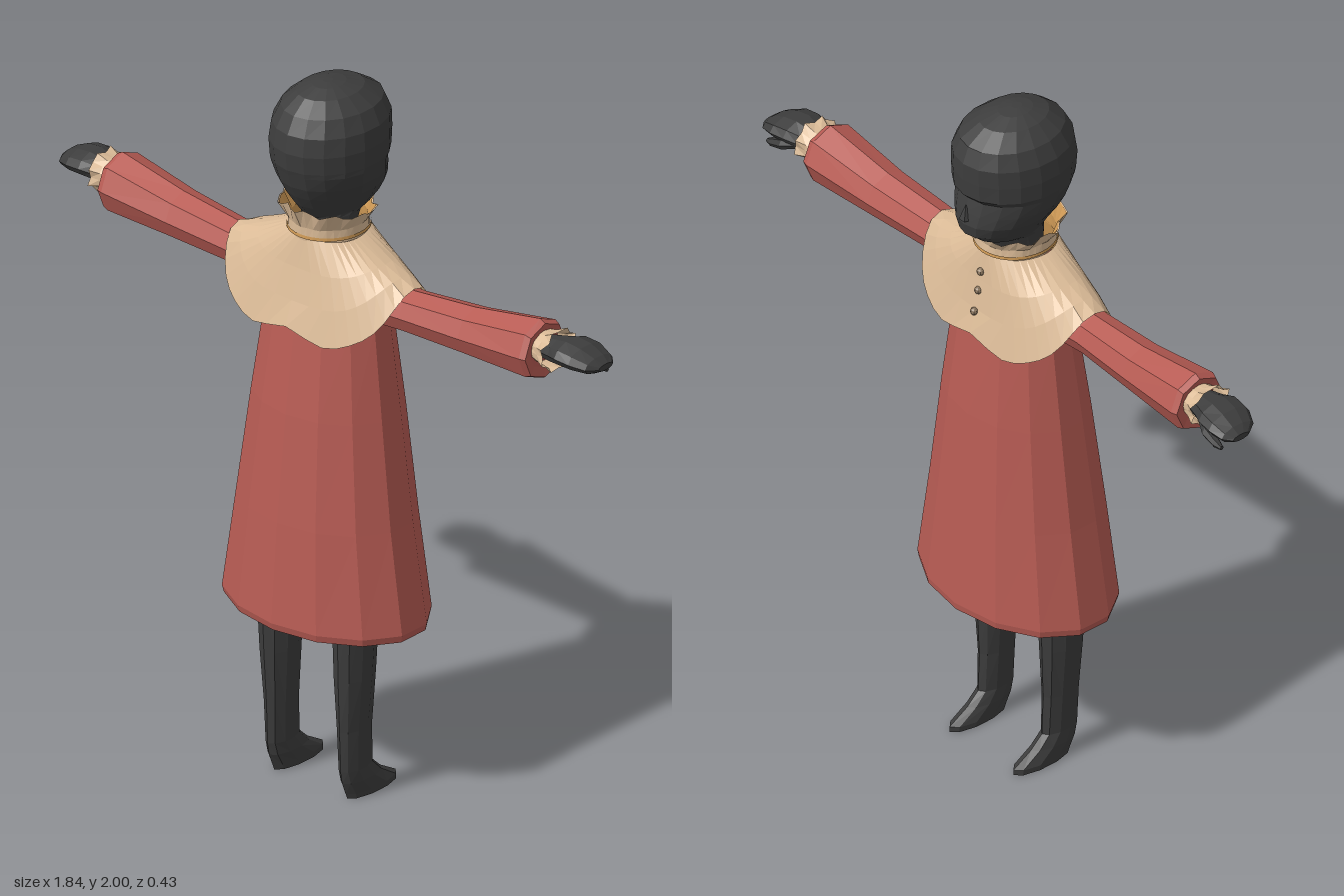
import * as THREE from 'three';

const material = (name, color, side = THREE.FrontSide) => {
  const m = new THREE.MeshStandardMaterial({ color, flatShading: true, side });
  m.name = name;
  return m;
};

// Skin a list of closed rings; rings run from bottom to top, anticlockwise seen from above.
function loft(rings, { caps = true, flip = false } = {}) {
  const n = rings[0].length, pos = [], index = [];
  rings.forEach(r => r.forEach(p => pos.push(...p)));
  const tri = (a, b, c) => index.push(a, ...(flip ? [c, b] : [b, c]));
  for (let j = 0; j < rings.length - 1; j++) {
    for (let i = 0; i < n; i++) {
      const k = (i + 1) % n, a = j * n + i, b = j * n + k;
      tri(a, b, b + n);
      tri(a, b + n, a + n);
    }
  }
  if (caps) {
    [0, rings.length - 1].forEach((j, end) => {
      const c = pos.length / 3;
      pos.push(...[0, 1, 2].map(d => rings[j].reduce((s, p) => s + p[d], 0) / n));
      for (let i = 0; i < n; i++) {
        const a = j * n + i, b = j * n + (i + 1) % n;
        end ? tri(a, b, c) : tri(b, a, c);
      }
    });
  }
  const g = new THREE.BufferGeometry();
  g.setAttribute('position', new THREE.Float32BufferAttribute(pos, 3));
  g.setIndex(index);
  g.computeVertexNormals();
  return g;
}

const angles = n => Array.from({ length: n }, (_, i) => i / n * Math.PI * 2);

// Level ring: height, half width, back (+z) and front (-z) extents, centre x
const levelRing = (n, [y, rx, zb, zf, cx = 0]) => angles(n).map(t =>
  [cx + Math.sin(t) * rx, y, (zb + zf) / 2 + Math.cos(t) * (zb - zf) / 2]);

// Upright ring along an arm: x, centre y, half height, centre z, half depth
const armRing = (n, [x, cy, ry, cz, rz], wave = 0) => angles(n).map((t, i) => {
  const w = 1 + (i % 2 ? wave : -wave);
  return [x + (i % 3 - 1) * wave * 0.04, cy - Math.sin(t) * ry * w, cz + Math.cos(t) * rz * w];
});

// Mirror a geometry across x = 0 and restore its winding
function mirrorX(geometry) {
  const g = geometry.clone().scale(-1, 1, 1), ix = g.index.array;
  for (let i = 0; i < ix.length; i += 3) [ix[i + 1], ix[i + 2]] = [ix[i + 2], ix[i + 1]];
  g.computeVertexNormals();
  return g;
}

export function createModel() {
  const group = new THREE.Group();
  const charcoal = material('charcoal', 0x3d3d3d);
  const red = material('coat red', 0xb85c54);
  const cream = material('cream cloth', 0xdcbc98, THREE.DoubleSide);
  const orange = material('orange lining', 0xcf9a56);
  const brown = material('button brown', 0x8f7a62);

  const add = (name, geometry, mat) => {
    const mesh = new THREE.Mesh(geometry, mat);
    mesh.name = name;
    group.add(mesh);
    return mesh;
  };
  const addPair = (name, geometry, mat) => {
    add('left' + name, geometry, mat);
    add('right' + name, mirrorX(geometry), mat);
  };

  // Head with jaw, brow and neck
  add('head', loft([
    [1.56, 0.07, 0.06, -0.06], [1.635, 0.075, 0.065, -0.10], [1.645, 0.078, 0.075, -0.145],
    [1.675, 0.095, 0.098, -0.18], [1.71, 0.117, 0.12, -0.187], [1.745, 0.132, 0.138, -0.18],
    [1.785, 0.143, 0.15, -0.17], [1.80, 0.145, 0.155, -0.185], [1.85, 0.147, 0.16, -0.188],
    [1.90, 0.142, 0.152, -0.188], [1.945, 0.12, 0.128, -0.17], [1.98, 0.078, 0.085, -0.115],
    [1.995, 0.04, 0.04, -0.06], [2.0, 0.012, 0.01, -0.02],
  ].map(r => levelRing(18, r))), charcoal);
  const nose = add('nose', new THREE.ConeGeometry(0.018, 0.045, 5), charcoal);
  nose.position.set(0, 1.745, -0.178);

  // Flared coat
  add('coat', loft([
    [0.515, 0.285, 0.195, -0.2], [0.5, 0.303, 0.21, -0.212], [0.52, 0.308, 0.215, -0.215],
    [0.8, 0.263, 0.193, -0.195], [1.1, 0.222, 0.16, -0.172], [1.35, 0.187, 0.125, -0.145],
    [1.46, 0.165, 0.105, -0.12], [1.54, 0.09, 0.08, -0.09],
  ].map(r => levelRing(14, r))), red);

  // Shoulder cape: neck, shoulder and scalloped hem rings
  const spow = (v, e) => Math.sign(v) * Math.abs(v) ** e;
  const capeRing = (rx, zb, zf, height, e = 0.8) => angles(40).map(t => {
    const u = spow(Math.sin(t), e), c = spow(Math.cos(t), e);
    return [u * rx, height(Math.abs(u)), c * (c > 0 ? zb : -zf)];
  });
  const capeRings = (k, drop) => [
    capeRing(0.3 * k, 0.16 * k, -0.165 * k, u => 1.34 + 0.16 * u ** 7
      + 0.013 * Math.cos(u * Math.PI * 2.5) * (1 - u ** 4) - drop),
    capeRing(0.255 * k, 0.137 * k, -0.145 * k, u => 1.42 + 0.097 * u ** 4 - drop),
    capeRing(0.2 * k, 0.115 * k, -0.13 * k, u => 1.505 + 0.033 * u ** 4 - drop),
    capeRing(0.105 * k, 0.098 * k, -0.118 * k, u => 1.59 - 0.008 * u - drop, 1),
  ];
  add('cape', loft(capeRings(1, 0), { caps: false }), cream);
  add('capeLining', loft(capeRings(0.98, 0.004), { caps: false, flip: true }), orange);

  // Ruffled collar, lower at the face, with a lining and a ribbon at its base
  const ruffRing = (k, y, rx, zb, zf, wave) => angles(36).map((t, i) => {
    const w = k * (1 + wave * Math.cos(i * Math.PI / 2));
    const z = (zb + zf) / 2 + Math.cos(t) * (zb - zf) / 2 * w;
    return [Math.sin(t) * rx * w, y + wave * 0.13 * Math.sin(i * 1.7) + wave * 0.22 * Math.cos(t), z];
  });
  const ruffRings = k => [
    ruffRing(k, 1.58, 0.103, 0.1, -0.118, 0), ruffRing(k, 1.615, 0.102, 0.1, -0.115, 0.01),
    ruffRing(k, 1.655, 0.126, 0.118, -0.128, 0.06),
  ];
  add('collar', loft(ruffRings(1), { caps: false }), cream);
  add('collarLining', loft(ruffRings(0.97), { caps: false, flip: true }), orange);
  add('collarRibbon', loft([[1.588, 0.107, 0.104, -0.122], [1.597, 0.106, 0.103, -0.121]]
    .map(r => levelRing(36, r)), { caps: false }), orange);

  // Buttons down the front of the cape
  [[1.53, -0.128], [1.475, -0.136], [1.415, -0.15]].forEach(([y, z], i) => {
    const button = add('button' + (i + 1), new THREE.SphereGeometry(0.011, 8, 6), brown);
    button.position.set(0, y, z);
  });

  // Sleeves
  addPair('Sleeve', loft([
    [0.1, 1.43, 0.065, 0, 0.07], [0.3, 1.438, 0.058, 0, 0.062], [0.5, 1.446, 0.066, -0.01, 0.07],
    [0.715, 1.463, 0.085, -0.018, 0.084], [0.732, 1.462, 0.077, -0.018, 0.078],
    [0.728, 1.465, 0.05, -0.018, 0.055],
  ].map(r => armRing(8, r))), red);

  // Frilled cuffs
  addPair('Cuff', loft([
    armRing(16, [0.72, 1.475, 0.042, -0.02, 0.05]),
    armRing(16, [0.75, 1.475, 0.046, -0.02, 0.056], 0.03),
    armRing(16, [0.778, 1.477, 0.055, -0.02, 0.066], 0.1),
  ], { caps: false }), cream);

  // Hands with thumbs
  addPair('Hand', loft([
    [0.72, 1.475, 0.028, -0.02, 0.036], [0.78, 1.48, 0.034, -0.024, 0.052],
    [0.815, 1.487, 0.034, -0.026, 0.068], [0.86, 1.483, 0.031, -0.03, 0.069],
    [0.9, 1.473, 0.022, -0.035, 0.054], [0.92, 1.469, 0.009, -0.04, 0.028],
  ].map(r => armRing(10, r))), charcoal);
  addPair('Thumb', loft([
    [0.785, 1.47, 0.014, -0.055, 0.016], [0.83, 1.456, 0.017, -0.078, 0.017],
    [0.87, 1.443, 0.013, -0.082, 0.013], [0.89, 1.436, 0.006, -0.08, 0.006],
  ].map(r => armRing(6, r))), charcoal);

  // Legs and pointed feet
  addPair('Leg', loft([
    [0, 0.03, 0.062, -0.125, 0.125], [0.015, 0.031, 0.068, -0.125, 0.125],
    [0.05, 0.03, 0.082, -0.065, 0.125], [0.085, 0.028, 0.088, -0.028, 0.125],
    [0.2, 0.032, 0.092, -0.024, 0.125], [0.35, 0.044, 0.1, -0.03, 0.127],
    [0.6, 0.056, 0.108, -0.04, 0.13],
  ].map(r => levelRing(10, r))), charcoal);

  return group;
}
